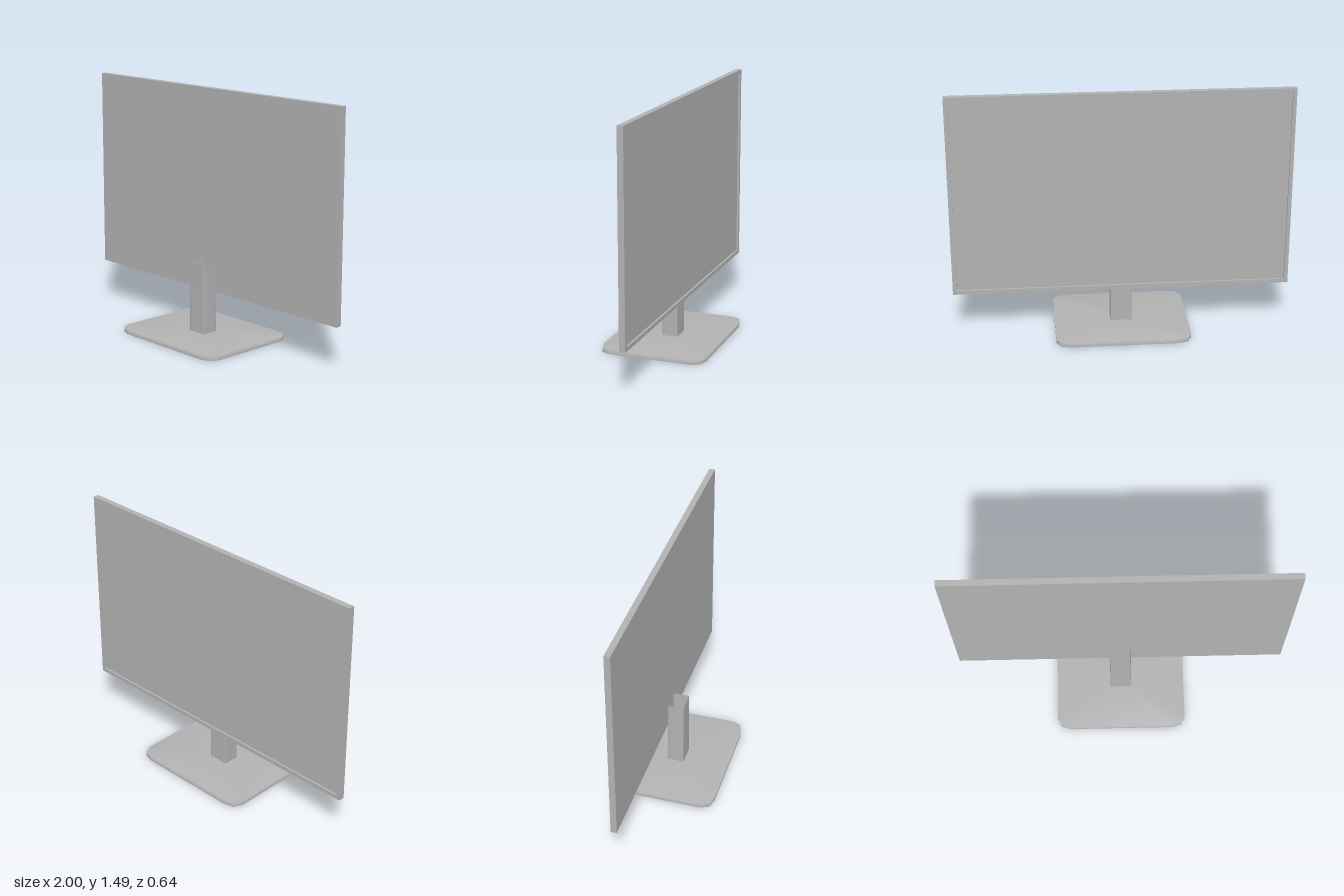
import * as THREE from 'three';

// Rounded rectangle outline: three points per corner, running from +x towards +z
function outline(hx, hz, cx, cz) {
  const pts = [];
  for (const [sx, sz] of [[1, 1], [-1, 1], [-1, -1], [1, -1]]) {
    const corner = [
      [sx * hx, sz * (hz - cz)],
      [sx * (hx - cx * 0.28), sz * (hz - cz * 0.25)],
      [sx * (hx - cx), sz * hz],
    ];
    pts.push(...(sx * sz > 0 ? corner : corner.reverse()));
  }
  return pts;
}

// Smooth skin through rings given as [outline, y]
function skin(rings) {
  const pos = [], idx = [], n = rings[0][0].length;
  for (const [pts, y] of rings) for (const [x, z] of pts) pos.push(x, y, z);
  for (let r = 0; r < rings.length - 1; r++) {
    for (let i = 0; i < n; i++) {
      const a = r * n + i, b = r * n + (i + 1) % n;
      idx.push(a, a + n, b, b, a + n, b + n);
    }
  }
  const geo = new THREE.BufferGeometry();
  geo.setAttribute('position', new THREE.Float32BufferAttribute(pos, 3));
  geo.setIndex(idx);
  geo.computeVertexNormals();
  return geo;
}

export function createModel() {
  const model = new THREE.Group();
  const grey = new THREE.MeshStandardMaterial({ color: 0xb2b2b2, side: THREE.DoubleSide });
  grey.name = 'grey plastic';

  const add = (name, geo, x = 0, y = 0, z = 0) => {
    const mesh = new THREE.Mesh(geo, grey);
    mesh.name = name;
    mesh.position.set(x, y, z);
    model.add(mesh);
  };

  // Base: shell open underneath, with a hole where the post stands
  const foot = outline(0.4, 0.318, 0.085, 0.068);
  const post = outline(0.064, 0.05, 0.007, 0.007);
  add('base', skin([[foot, 0], [foot, 0.03], [post, 0.03]]));

  // Post: hollow tube open at both ends
  add('post', skin([[post, 0.03], [post, 0.45]]));

  // Display: slab with a raised bezel around the recessed screen on the -z side
  const w = 2, h = 1.22, cy = 0.875;
  const slab = 0.024, lip = 0.012, front = -0.062;
  add('displayBody', new THREE.BoxGeometry(w, h, slab), 0, cy, front - slab / 2);

  const rect = (Type, hw, hh) => new Type([
    new THREE.Vector2(-hw, -hh), new THREE.Vector2(hw, -hh),
    new THREE.Vector2(hw, hh), new THREE.Vector2(-hw, hh),
  ]);
  const frame = rect(THREE.Shape, w / 2, h / 2);
  frame.holes.push(rect(THREE.Path, w / 2 - 0.022, h / 2 - 0.024));
  add('bezel', new THREE.ExtrudeGeometry(frame, { depth: lip, bevelEnabled: false }), 0, cy, front - slab - lip);

  return model;
}
